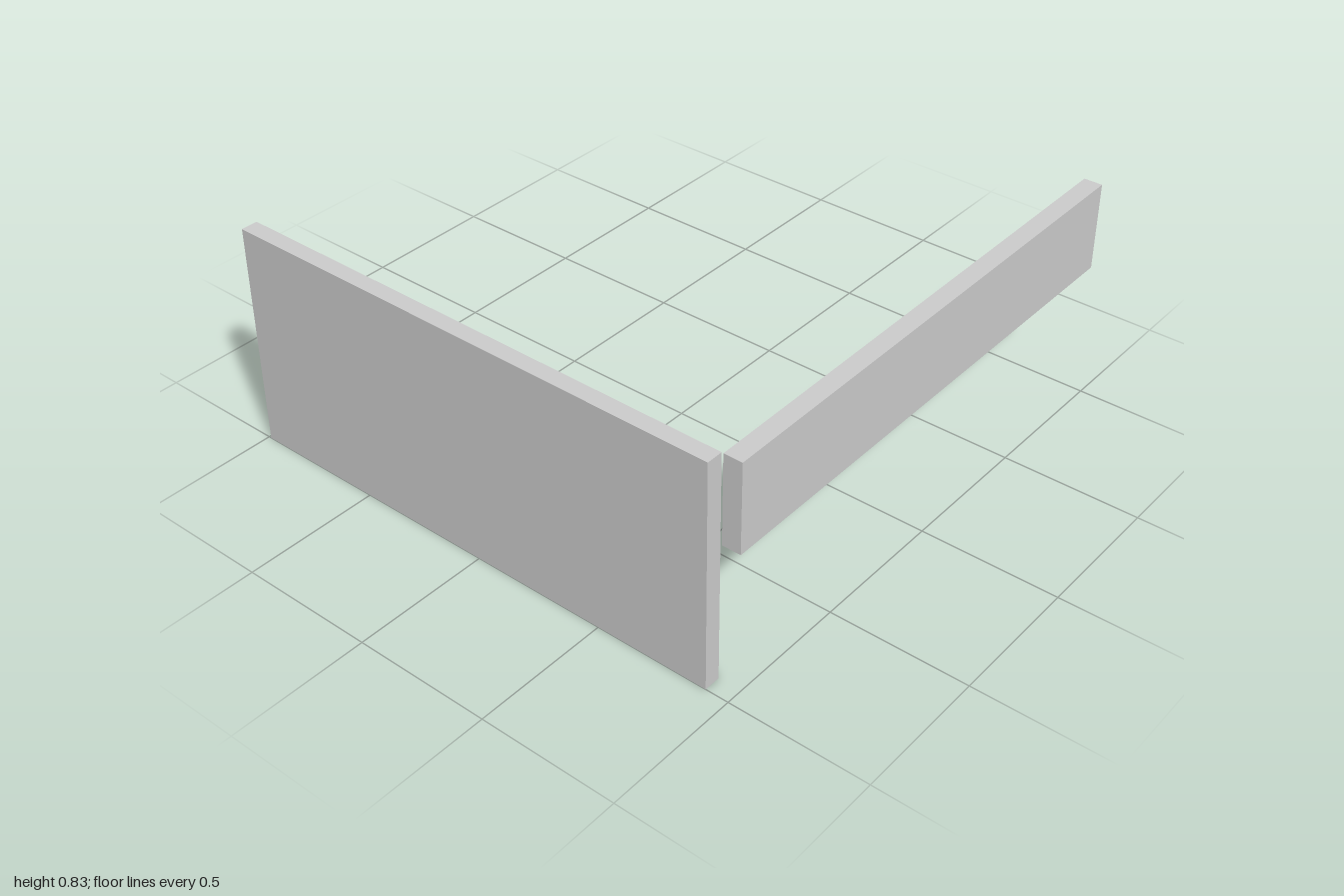
import * as THREE from 'three';

export function createModel() {
  const model = new THREE.Group();
  const material = new THREE.MeshStandardMaterial({ color: 0xcccccc, flatShading: true });

  const board = (name, size, position) => {
    const mesh = new THREE.Mesh(new THREE.BoxGeometry(...size), material);
    mesh.name = name;
    mesh.position.set(...position);
    model.add(mesh);
    return mesh;
  };

  // Tall upright panel along the right side
  board('sidePanel', [0.06, 0.83, 1.907], [-0.97, 0.415, -0.0365]);

  // Narrow rail across the front, very slightly out of square
  const rail = board('frontRail', [1.94, 0.322, 0.066], [0.03, 0.667, 0.95]);
  rail.rotation.set(0, 0.006, -0.001);

  return model;
}
